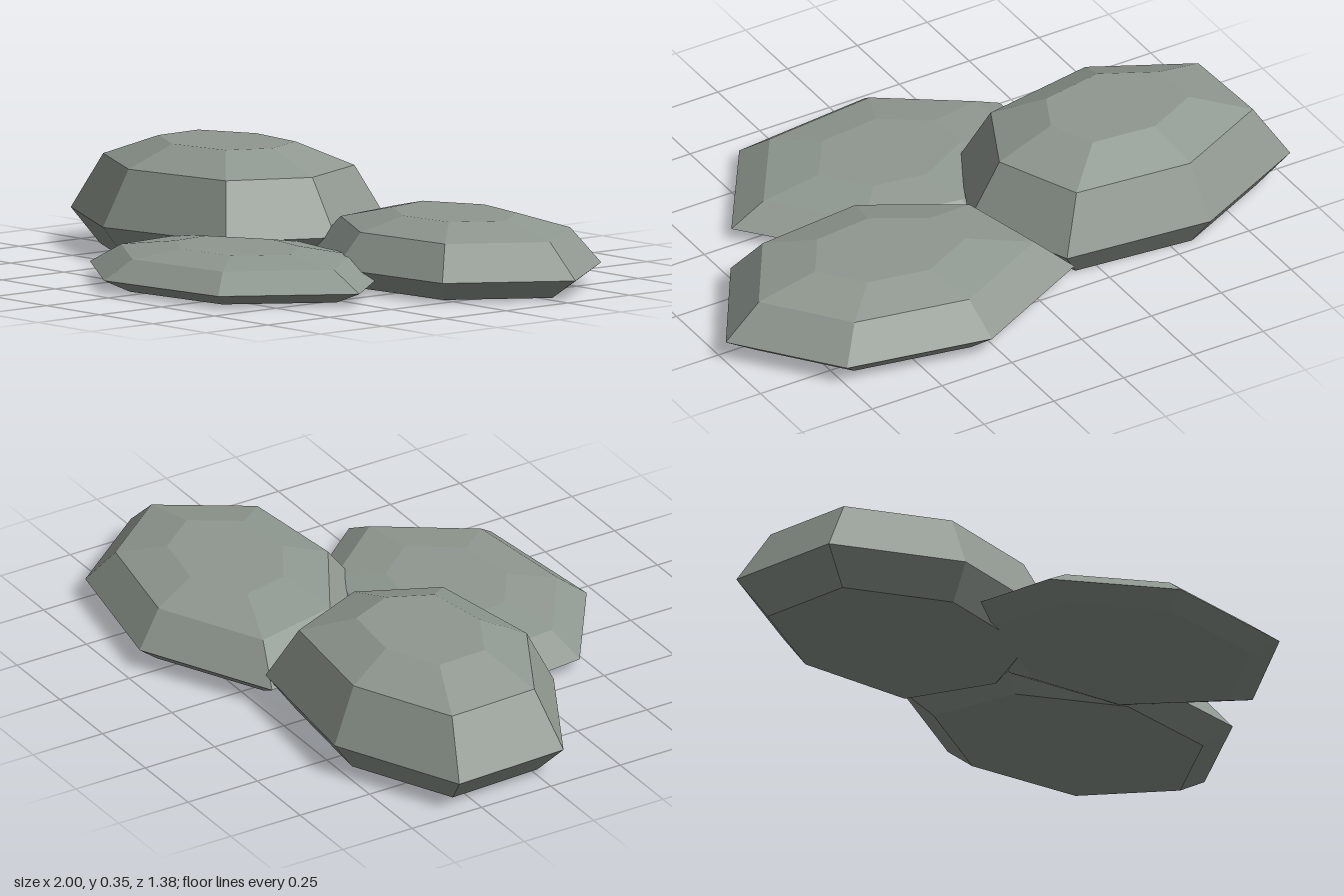
import * as THREE from 'three';

// Each stone: height, centre (x, z) and its seven widest corners (x, z), from +x towards +z
const STONES = [
  { name: 'tallStone', height: 0.35, centre: [-0.48, -0.135], rim: [
    [0.035, -0.14], [-0.115, 0.175], [-0.595, 0.26], [-0.985, 0.055],
    [-1.0, -0.33], [-0.595, -0.53], [-0.11, -0.48]] },
  { name: 'middleStone', height: 0.215, centre: [0.43, -0.28], rim: [
    [0.995, -0.285], [0.77, 0.06], [0.32, 0.105], [-0.06, -0.12],
    [-0.14, -0.475], [0.285, -0.69], [0.75, -0.6]] },
  { name: 'flatStone', height: 0.125, centre: [0.08, 0.29], rim: [
    [0.635, 0.28], [0.39, 0.64], [-0.09, 0.69], [-0.43, 0.455],
    [-0.465, 0.13], [-0.03, -0.11], [0.37, -0.04]] },
];

// Rings from base to top: fraction of height, fraction of rim size
const RINGS = [[0, 0.81], [0.3, 1], [0.8, 0.79], [1, 0.43]];

function stoneGeometry({ height, centre: [cx, cz], rim }) {
  const n = rim.length;
  const positions = [];
  const index = [];
  for (const [level, scale] of RINGS) {
    for (const [x, z] of rim) {
      positions.push(cx + (x - cx) * scale, level * height, cz + (z - cz) * scale);
    }
  }
  const last = (RINGS.length - 1) * n;
  const bottom = RINGS.length * n;
  const top = bottom + 1;
  positions.push(cx, 0, cz, cx, height, cz);

  for (let j = 0; j < n; j++) {
    const k = (j + 1) % n;
    // side facets
    for (let r = 0; r < last; r += n) {
      index.push(r + j, r + n + j, r + n + k, r + j, r + n + k, r + k);
    }
    // caps
    index.push(bottom, j, k, top, last + k, last + j);
  }
  const indexed = new THREE.BufferGeometry();
  indexed.setAttribute('position', new THREE.Float32BufferAttribute(positions, 3));
  indexed.setIndex(index);
  const geometry = indexed.toNonIndexed();
  geometry.computeVertexNormals();
  return geometry;
}

export function createModel() {
  const group = new THREE.Group();
  group.name = 'stones';
  const material = new THREE.MeshStandardMaterial({ color: 0x8f9890, flatShading: true });
  for (const stone of STONES) {
    const mesh = new THREE.Mesh(stoneGeometry(stone), material);
    mesh.name = stone.name;
    group.add(mesh);
  }
  return group;
}
